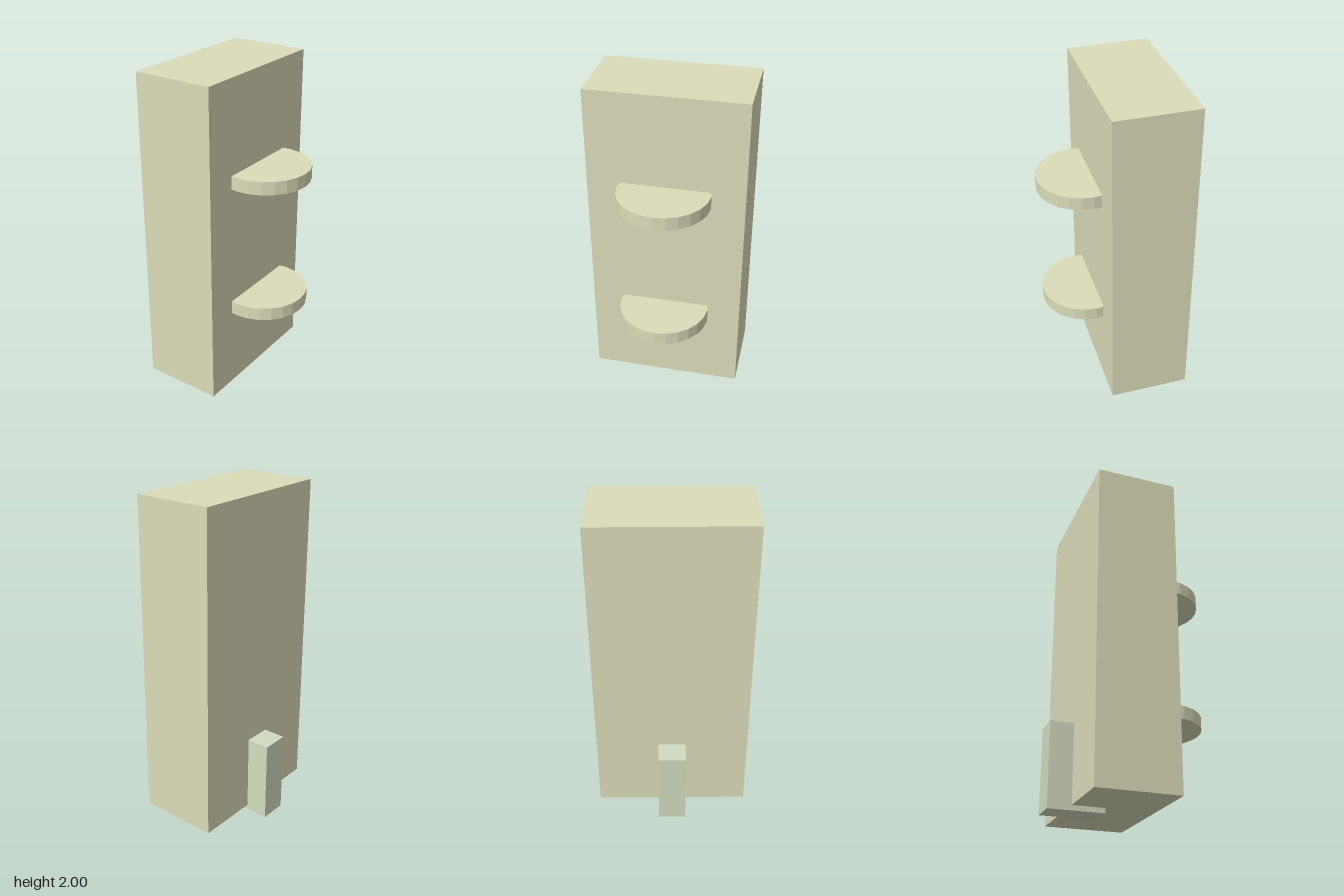
import * as THREE from 'three';

export function createModel() {
  const group = new THREE.Group();
  const bodyMaterial = new THREE.MeshStandardMaterial({ color: 0xdbdcb9, flatShading: true });
  const tabMaterial = new THREE.MeshStandardMaterial({ color: 0xd3dcc0, flatShading: true });

  const add = (name, geometry, material, x, y, z) => {
    const mesh = new THREE.Mesh(geometry, material);
    mesh.name = name;
    mesh.position.set(x, y, z);
    group.add(mesh);
  };

  // Upright slab
  add('body', new THREE.BoxGeometry(0.93, 1.97, 0.49), bodyMaterial, 0, 1.015, -0.09);

  // Two round discs half sunk into the front face
  const disc = new THREE.CylinderGeometry(0.273, 0.273, 0.08, 24);
  add('lowerShelf', disc, bodyMaterial, 0, 0.58, 0.2);
  add('upperShelf', disc, bodyMaterial, 0, 1.4, 0.2);

  // Block at the back that also reaches under the slab
  add('rearFoot', new THREE.BoxGeometry(0.167, 0.5, 0.333), tabMaterial, 0, 0.25, -0.307);

  return group;
}
